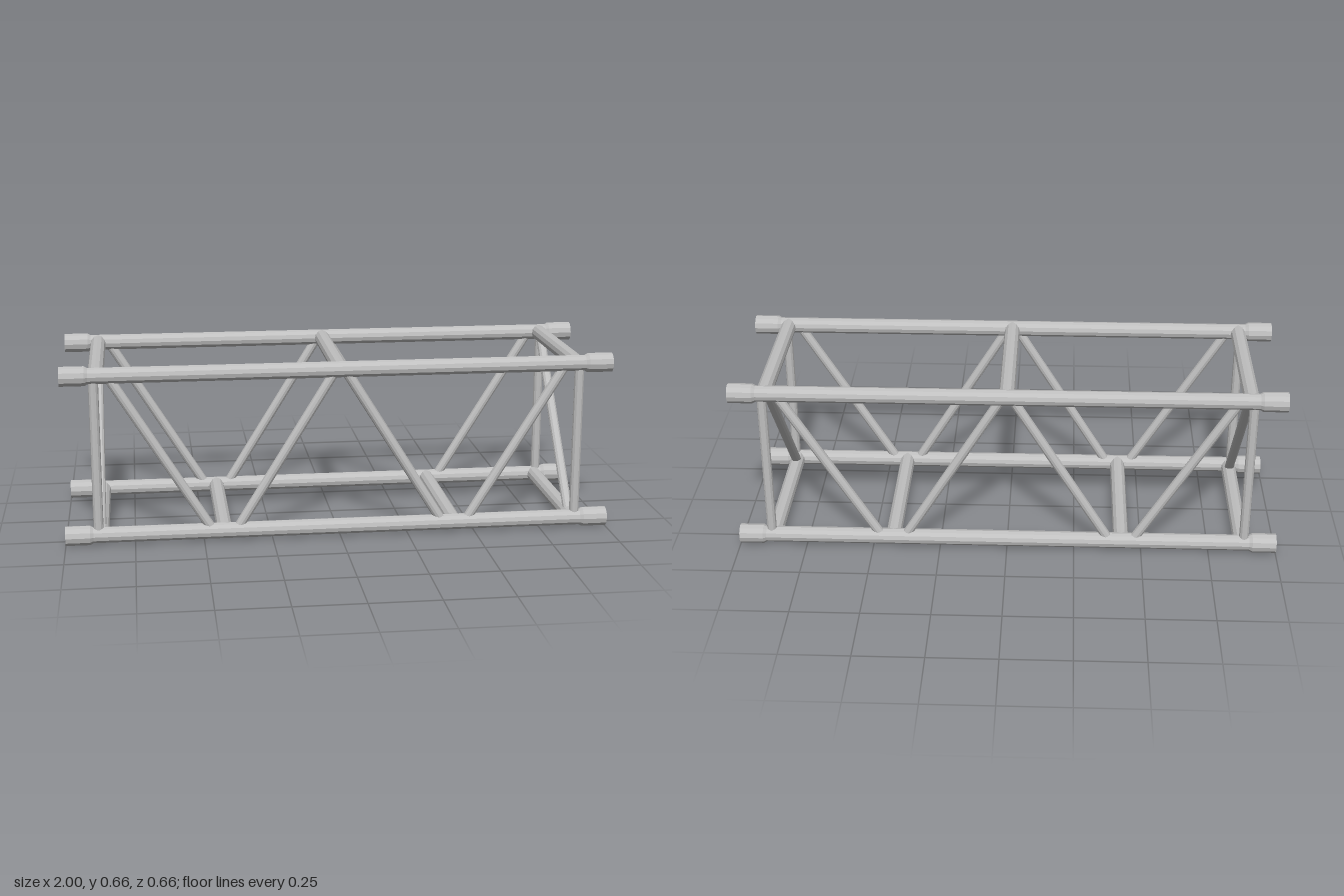
import * as THREE from 'three';

const SIDES = 12;
const LOW = 0.036, HIGH = 0.626, SIDE = 0.295; // chord centre lines
const CHORD_R = 0.0295, CROSS_R = 0.029, BRACE_R = 0.018, COLLAR_R = 0.036;

export function createModel() {
  const group = new THREE.Group();
  const metal = new THREE.MeshStandardMaterial({ color: 0xc0c0c0, flatShading: true });
  metal.name = 'brushedAluminium';

  // Straight tube between two points, optionally tapered
  function tube(name, a, b, r0, r1 = r0) {
    const start = new THREE.Vector3(...a), end = new THREE.Vector3(...b);
    const dir = end.clone().sub(start);
    const mesh = new THREE.Mesh(new THREE.CylinderGeometry(r1, r0, dir.length(), SIDES), metal);
    mesh.position.copy(start).add(end).multiplyScalar(0.5);
    mesh.quaternion.setFromUnitVectors(new THREE.Vector3(0, 1, 0), dir.normalize());
    mesh.name = name;
    group.add(mesh);
  }

  for (const z of [-SIDE, SIDE]) {
    // Long chords with thicker end collars
    for (const y of [LOW, HIGH]) {
      tube('chord', [-0.95, y, z], [0.95, y, z], CHORD_R);
      for (const s of [-1, 1]) {
        tube('endCollar', [s * 0.912, y, z], [s, y, z], COLLAR_R);
        tube('collarTaper', [s * 0.9, y, z], [s * 0.912, y, z], CHORD_R, COLLAR_R);
      }
    }
    // Uprights and zigzag side braces
    for (const s of [-1, 1]) {
      tube('upright', [s * 0.881, LOW, z], [s * 0.881, HIGH, z], BRACE_R);
      tube('outerBrace', [s * 0.472, 0.045, z], [s * 0.829, 0.62, z], BRACE_R);
      tube('innerBrace', [s * 0.376, 0.045, z], [s * 0.019, 0.62, z], BRACE_R);
    }
  }

  // Cross bars joining the two sides
  for (const x of [-0.872, 0, 0.872]) tube('topCrossBar', [x, HIGH, -SIDE], [x, HIGH, SIDE], CROSS_R);
  for (const x of [-0.872, -0.425, 0.425, 0.872]) tube('bottomCrossBar', [x, LOW, -SIDE], [x, LOW, SIDE], CROSS_R);

  // Diagonal across each end frame
  for (const x of [-0.872, 0.872]) tube('endBrace', [x, 0.04, 0.252], [x, 0.622, -0.249], BRACE_R);

  return group;
}
